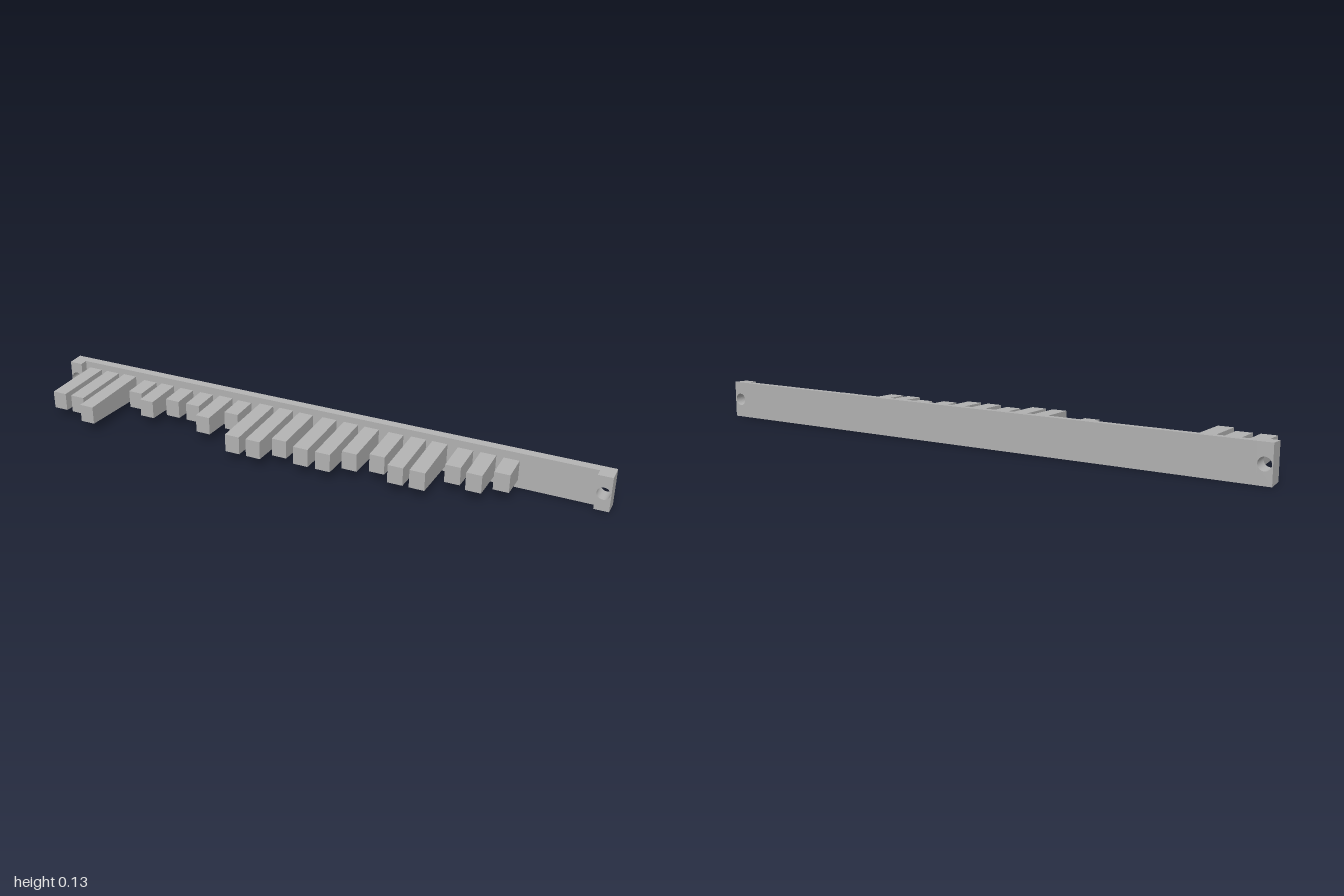
import * as THREE from 'three';

const MID = 0.063;                       // height of the centre line
const BACK = -0.149, FACE = -0.12, PAD = -0.092;
const baseHalf = z => 0.063 - 0.058 * (z - BACK); // drafted half height of the base

// Box whose top and bottom lean inward from back to front
function draftedBox(width, z0, z1, half0, half1) {
  const g = new THREE.BoxGeometry(width, 2, z1 - z0);
  const p = g.attributes.position;
  for (let i = 0; i < p.count; i++) p.setY(i, p.getY(i) * (p.getZ(i) < 0 ? half0 : half1));
  g.translate(0, MID, (z0 + z1) / 2);
  g.computeVertexNormals();
  return g;
}

// End pad with a round through hole and the same draft as the rail
function padGeometry(width) {
  const h = baseHalf(BACK);
  const s = new THREE.Shape();
  s.moveTo(-width / 2, -h);
  s.lineTo(width / 2, -h);
  s.lineTo(width / 2, h);
  s.lineTo(-width / 2, h);
  s.closePath();
  s.holes.push(new THREE.Path().absarc(0, 0, 0.021, 0, Math.PI * 2, true));
  const g = new THREE.ExtrudeGeometry(s, { depth: PAD - BACK, bevelEnabled: false, curveSegments: 24 });
  const p = g.attributes.position;
  for (let i = 0; i < p.count; i++) {
    if (Math.abs(p.getY(i)) > 0.05) p.setY(i, Math.sign(p.getY(i)) * baseHalf(BACK + p.getZ(i)));
  }
  g.translate(0, MID, BACK);
  g.computeVertexNormals();
  return g;
}

export function createModel() {
  const group = new THREE.Group();
  const grey = new THREE.MeshStandardMaterial({ color: 0xb2b2b2 });
  grey.name = 'grey';
  const add = (name, geometry, x) => {
    const m = new THREE.Mesh(geometry, grey);
    m.name = name;
    m.position.x = x;
    group.add(m);
  };

  // Long rail between the two pads
  const padWidth = 0.048;
  add('rail', draftedBox(2 - 2 * padWidth, BACK, FACE, baseHalf(BACK), baseHalf(FACE)), 0);
  for (const side of [-1, 1]) {
    add(side > 0 ? 'leftEndPad' : 'rightEndPad', padGeometry(padWidth), side * (1 - padWidth / 2));
  }

  // Teeth: centre x, front z; tips are equal, roots thicken with length
  const teeth = [
    [-0.909, 0.1], [-0.833, 0.1], [-0.758, 0.149], [-0.67, -0.022], [-0.596, 0.02],
    [-0.516, -0.022], [-0.434, -0.022], [-0.355, 0.042], [-0.28, -0.022], [-0.194, 0.124],
    [-0.117, 0.124], [-0.042, 0.082], [0.046, 0.103], [0.125, 0.103], [0.2, 0.062],
    [0.287, 0.041], [0.366, 0.082], [0.439, 0.082], [0.526, 0], [0.602, 0.02], [0.678, -0.022],
  ];
  teeth.forEach(([x, tip], i) => {
    const root = 0.031 + 0.037 * (tip - FACE);
    add('tooth' + (i + 1), draftedBox(0.052, FACE, tip, root, 0.031), x);
  });
  return group;
}
